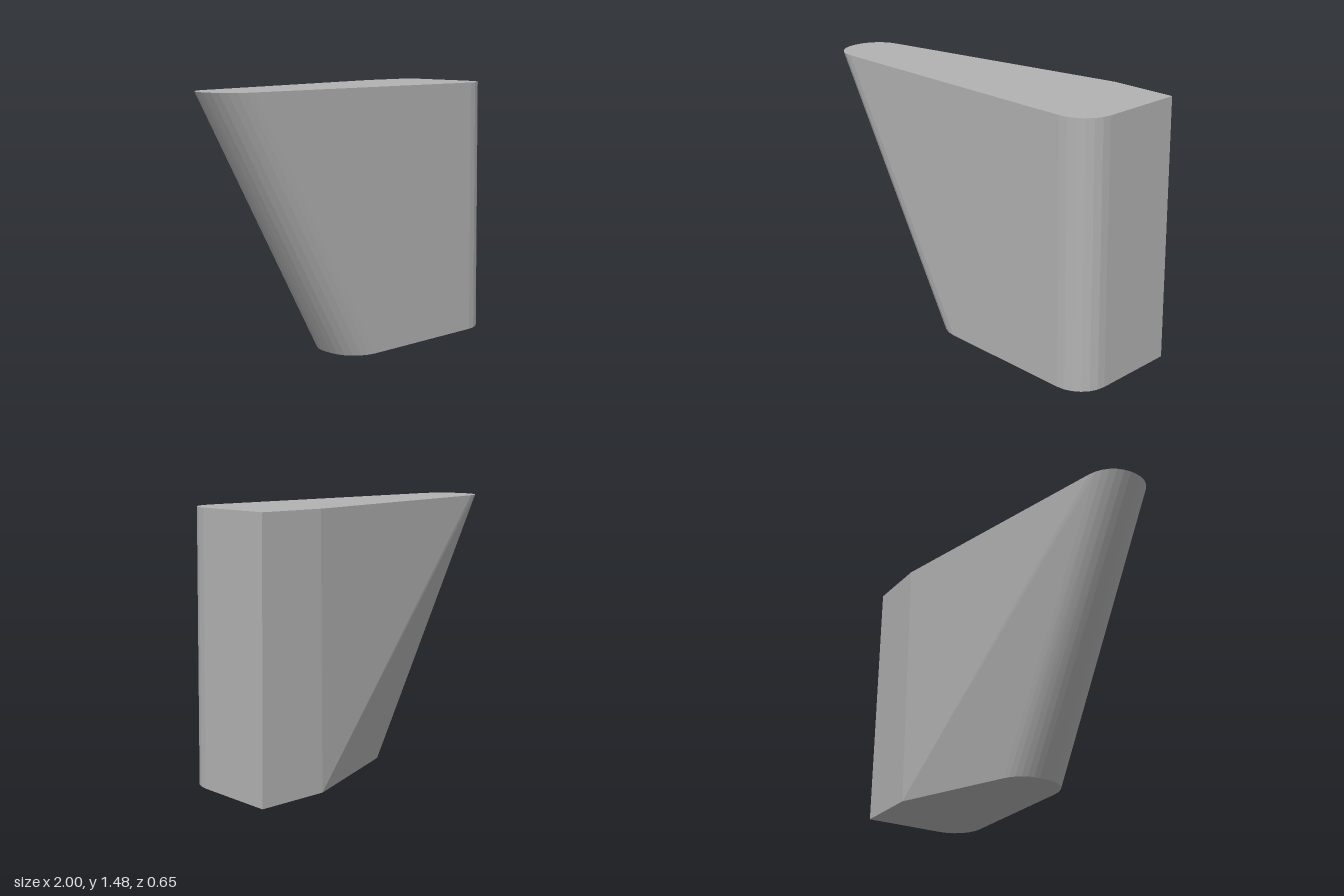
import * as THREE from 'three';
import { ConvexGeometry } from 'three/addons/geometries/ConvexGeometry.js';

const R = 0.175; // corner radius
const FRONT = 0.325, BACK = -0.325, HEIGHT = 1.475;

// Points on a rounded corner, in the horizontal plane at height y
function arc(cx, cz, y, from, to, steps) {
  return Array.from({ length: steps + 1 }, (_, i) => {
    const a = THREE.MathUtils.degToRad(from + (to - from) * i / steps);
    return new THREE.Vector3(cx + R * Math.cos(a), y, cz + R * Math.sin(a));
  });
}

// Outline of one end: square back corner, slanted back, rounded nose and front
function outline(y, left, right) {
  const kink = 0.6, noseZ = -0.015;
  const slope = THREE.MathUtils.radToDeg(Math.atan2(noseZ - BACK, kink - left));
  const tangent = R * Math.tan(THREE.MathUtils.degToRad(90 - slope) / 2);
  return [
    new THREE.Vector3(right, y, BACK),
    new THREE.Vector3(kink, y, BACK),
    ...arc(left + R, noseZ + tangent, y, 270 - slope, 180, 6),
    ...arc(left + R, FRONT - R, y, 180, 90, 6),
    ...arc(right - R, FRONT - R, y, 90, 0, 6),
  ];
}

export function createModel() {
  const group = new THREE.Group();
  group.name = 'taperedBlock';

  const grey = new THREE.MeshStandardMaterial({ color: 0xb2b2b2 });
  grey.name = 'grey';

  // Solid skin stretched between the small base and the long top
  const body = new THREE.Mesh(
    new ConvexGeometry([...outline(0, -0.15, 1), ...outline(HEIGHT, -1, 0.975)]),
    grey
  );
  body.name = 'body';
  group.add(body);
  return group;
}
